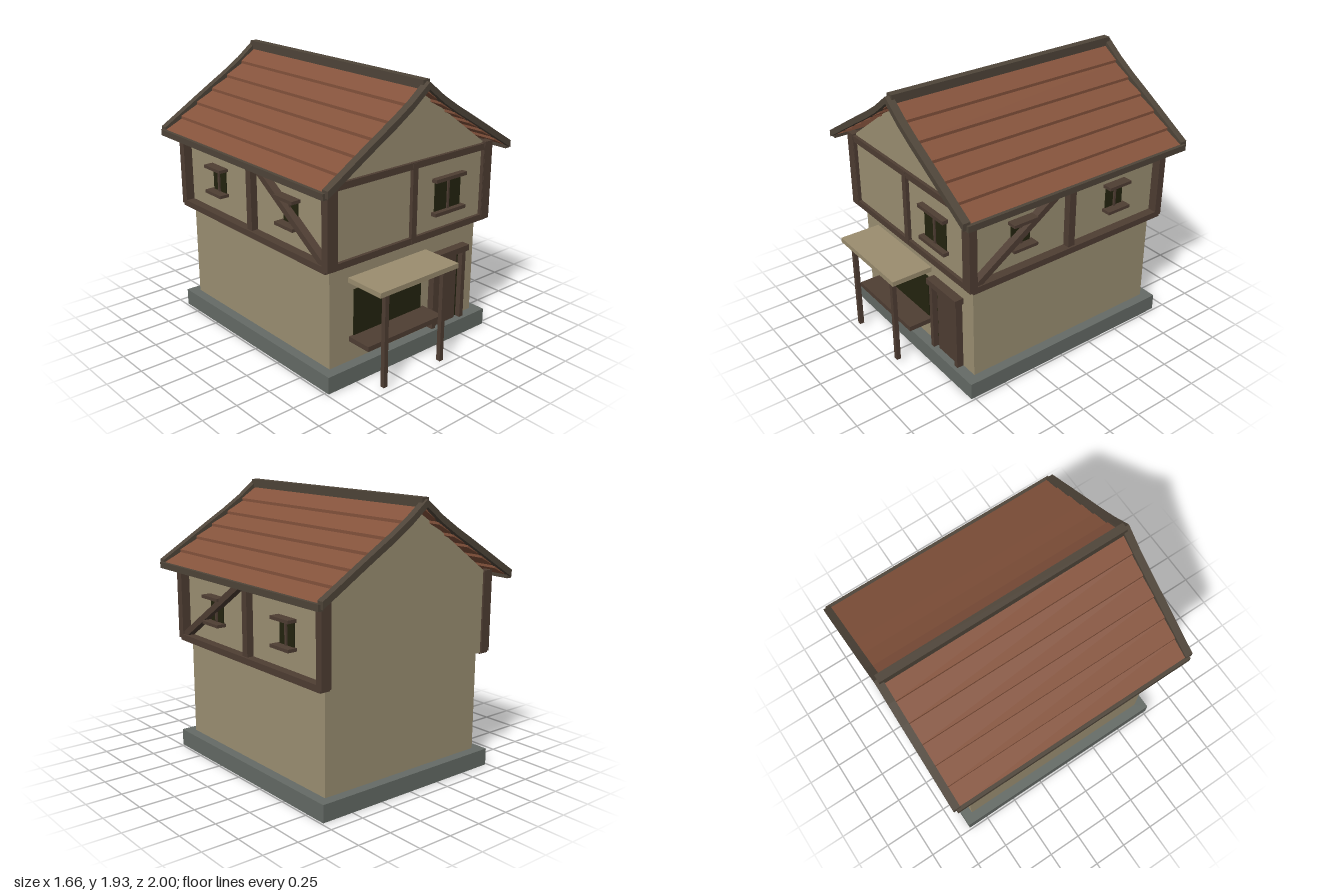
import * as THREE from 'three';

const paint = (name, color) => {
  const m = new THREE.MeshStandardMaterial({ color });
  m.name = name;
  return m;
};

export function createModel() {
  const house = new THREE.Group();
  house.name = 'timberHouse';

  const plaster = paint('plaster', 0x9c9073);
  const stone = paint('stone', 0x656b66);
  const timber = paint('timber', 0x4f3e33);
  const roofTrim = paint('roofTrim', 0x4f4539);
  const tile = paint('roofTile', 0x85533c);
  const glass = paint('darkGlass', 0x24240f);
  const canvas = paint('awningCloth', 0x9b8d6f);

  // Box given by its limits on each axis
  function box(name, mat, x0, x1, y0, y1, z0, z1) {
    const g = new THREE.BoxGeometry(Math.abs(x1 - x0), Math.abs(y1 - y0), Math.abs(z1 - z0));
    const mesh = new THREE.Mesh(g, mat);
    mesh.position.set((x0 + x1) / 2, (y0 + y1) / 2, (z0 + z1) / 2);
    mesh.name = name;
    house.add(mesh);
    return mesh;
  }

  // Outline in x,y extruded from z0 to z1
  function prism(name, mat, pts, z0, z1) {
    const shape = new THREE.Shape(pts.map(([x, y]) => new THREE.Vector2(x, y)));
    const g = new THREE.ExtrudeGeometry(shape, { depth: z1 - z0, bevelEnabled: false });
    g.translate(0, 0, z0);
    const mesh = new THREE.Mesh(g, mat);
    mesh.name = name;
    house.add(mesh);
  }

  // Walls: stone footing, ground floor, overhanging upper floor and gable
  box('footing', stone, -0.735, 0.735, 0, 0.12, -0.905, 0.775);
  box('groundFloor', plaster, -0.665, 0.665, 0.12, 0.83, -0.835, 0.7);
  box('upperFloor', plaster, -0.67, 0.67, 0.83, 1.395, -0.877, 0.742);
  prism('gable', plaster, [[-0.67, 1.395], [0.67, 1.395], [0, 1.875]], -0.877, 0.742);

  // Front timber frame
  box('frontSillBeam', timber, -0.7, 0.7, 0.83, 0.875, 0.735, 0.765);
  box('frontTopBeam', timber, -0.7, 0.7, 1.345, 1.39, 0.735, 0.765);
  for (const x of [-0.675, 0, 0.675]) {
    box('frontPost', timber, x - 0.022, x + 0.022, 0.835, 1.385, 0.735, 0.768);
  }

  // Front window on the upper floor
  box('frontWindowPane', glass, 0.205, 0.45, 0.99, 1.215, 0.74, 0.748);
  box('frontWindowMullion', timber, 0.318, 0.335, 0.99, 1.215, 0.742, 0.758);
  box('frontWindowSill', timber, 0.18, 0.47, 0.975, 1.0, 0.74, 0.785);
  box('frontWindowLintel', timber, 0.18, 0.47, 1.21, 1.235, 0.74, 0.785);

  // Shop window with counter and awning
  box('shopWindowPane', glass, -0.465, 0.145, 0.3, 0.625, 0.7, 0.708);
  box('shopCounter', timber, -0.5, 0.175, 0.265, 0.3, 0.7, 0.885);
  box('awning', canvas, -0.51, 0.185, 0.685, 0.72, 0.7, 1.0);
  for (const x of [-0.42, 0.095]) {
    box('awningPost', timber, x - 0.016, x + 0.016, 0.015, 0.686, 0.934, 0.966);
  }

  // Door
  box('doorRecess', glass, 0.23, 0.535, 0.12, 0.65, 0.7, 0.709);
  box('door', timber, 0.285, 0.475, 0.12, 0.63, 0.7, 0.725);
  box('doorJamb', timber, 0.225, 0.258, 0.12, 0.635, 0.7, 0.75);
  box('doorJamb', timber, 0.505, 0.54, 0.12, 0.635, 0.7, 0.75);
  box('doorLintel', timber, 0.215, 0.555, 0.632, 0.675, 0.7, 0.765);

  // Roof slope from ridge to eave, as [x, top of bargeboard]
  const slope = [[0, 1.925], [0.135, 1.82], [0.27, 1.732], [0.405, 1.652],
    [0.54, 1.57], [0.675, 1.487], [0.81, 1.405]];

  for (const s of [-1, 1]) {
    // Side timber frame
    box('sideSillBeam', timber, s * 0.66, s * 0.735, 0.82, 0.865, -0.875, 0.745);
    box('sideTopBeam', timber, s * 0.66, s * 0.72, 1.345, 1.39, -0.875, 0.745);
    box('cornerPost', timber, s * 0.66, s * 0.735, 0.835, 1.4, 0.712, 0.77);
    box('cornerPost', timber, s * 0.66, s * 0.735, 0.835, 1.4, -0.89, -0.835);
    box('sidePost', timber, s * 0.66, s * 0.72, 0.86, 1.37, -0.09, -0.036);

    // Diagonal brace rising from the front corner
    const dz = 0.75, dy = 0.5;
    const brace = box('brace', timber, s * 0.665, s * 0.725, -0.022, 0.022, -0.45, 0.45);
    brace.position.y = 1.105;
    brace.position.z = 0.345;
    brace.rotation.x = Math.atan2(dy, dz);

    // Side windows
    for (const z of [0.335, -0.47]) {
      box('sideWindowPane', glass, s * 0.67, s * 0.678, 1.01, 1.195, z - 0.075, z + 0.075);
      box('sideWindowMullion', timber, s * 0.67, s * 0.69, 1.01, 1.195, z - 0.008, z + 0.008);
      box('sideWindowSill', timber, s * 0.67, s * 0.74, 1.0, 1.022, z - 0.095, z + 0.095);
      box('sideWindowLintel', timber, s * 0.67, s * 0.74, 1.183, 1.205, z - 0.095, z + 0.095);
    }

    // Overlapping tile courses
    for (let i = 0; i < slope.length - 1; i++) {
      const [xa, ya] = slope[i], [xb, yb] = slope[i + 1];
      prism('tileCourse', tile, [[s * xa, ya - 0.04], [s * xb, yb - 0.02],
        [s * xb, yb - 0.045], [s * xa, ya - 0.062]], -0.96, 0.83);
    }

    // Bargeboards at both ends, and eave beam
    const board = [...slope.map(([x, y]) => [s * x, y]),
      ...slope.map(([x, y]) => [s * x, y - 0.048]).reverse()];
    prism('bargeboard', roofTrim, board, 0.812, 0.865);
    prism('bargeboard', roofTrim, board, -0.995, -0.945);
    box('eaveBeam', roofTrim, s * 0.79, s * 0.828, 1.345, 1.388, -0.975, 0.84);
  }
  box('ridgeBeam', roofTrim, -0.028, 0.028, 1.875, 1.935, -0.975, 0.835);

  return house;
}
